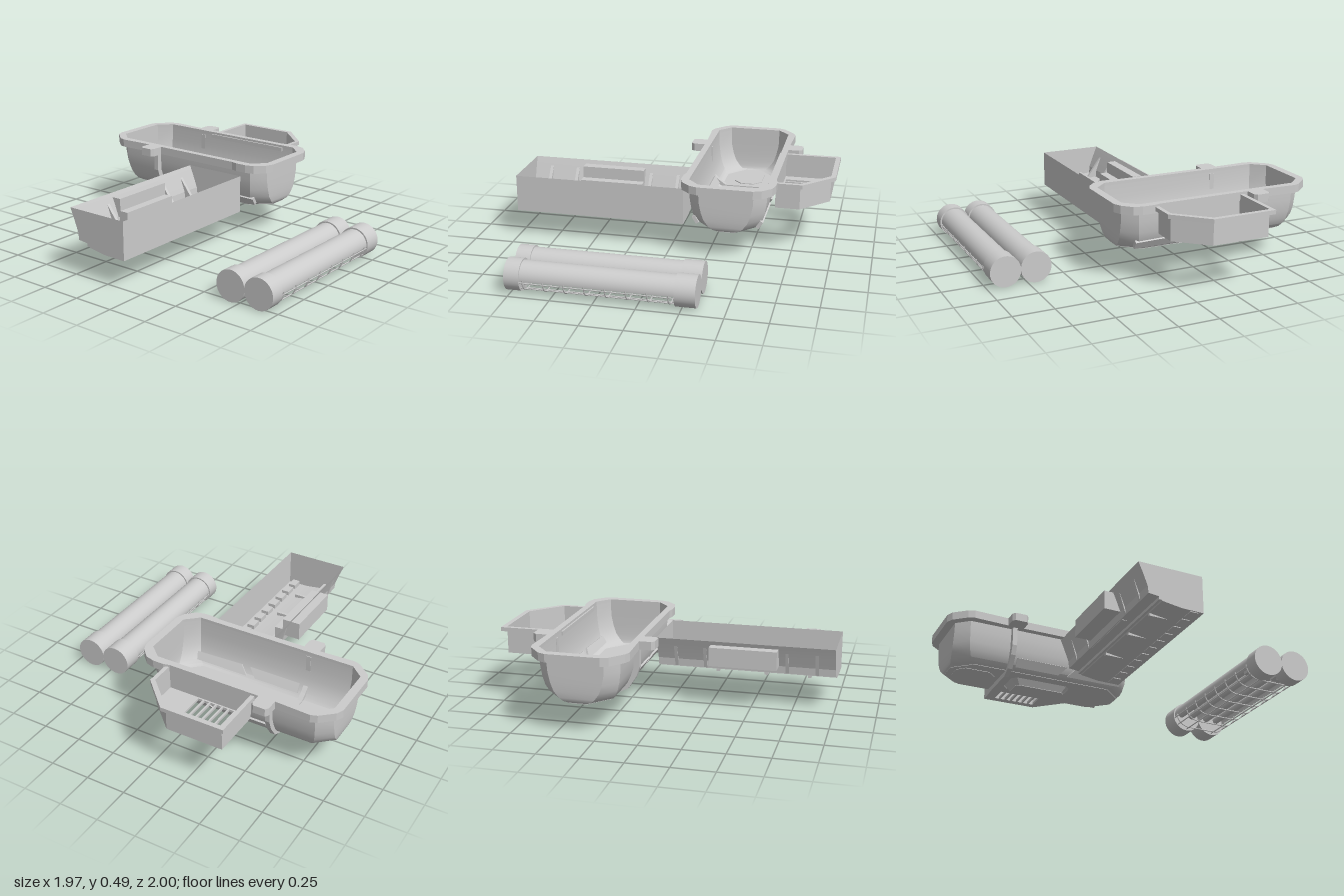
import * as THREE from 'three';
import { toCreasedNormals } from 'three/addons/utils/BufferGeometryUtils.js';

const grey = new THREE.MeshStandardMaterial({ color: 0xcccccc, side: THREE.DoubleSide });

function add(parent, name, geometry, x = 0, y = 0, z = 0) {
  const mesh = new THREE.Mesh(geometry, grey);
  mesh.name = name;
  mesh.position.set(x, y, z);
  parent.add(mesh);
  return mesh;
}
const section = (parent, name) => {
  const g = new THREE.Group();
  g.name = name;
  parent.add(g);
  return g;
};
// box given by its limits
const block = (parent, name, x0, x1, y0, y1, z0, z1) =>
  add(parent, name, new THREE.BoxGeometry(x1 - x0, y1 - y0, z1 - z0), (x0 + x1) / 2, (y0 + y1) / 2, (z0 + z1) / 2);

const toShape = (pts, holes = []) => {
  const shape = new THREE.Shape(pts.map(p => new THREE.Vector2(...p)));
  for (const h of holes) shape.holes.push(new THREE.Path(h.map(p => new THREE.Vector2(...p))));
  return shape;
};
const extrude = (pts, depth, holes) =>
  new THREE.ExtrudeGeometry(toShape(pts, holes), { depth, bevelEnabled: false });
// horizontal plate outlined in x, z, hanging down from its top height
const plate = (parent, name, pts, top, depth, holes) =>
  add(parent, name, extrude(pts, depth, holes).rotateX(Math.PI / 2), 0, top, 0);

// rectangle with cut corners, in x, z
const octagon = (x0, x1, z0, z1, cx, cz = cx) => [
  [x0 + cx, z0], [x1 - cx, z0], [x1, z0 + cz], [x1, z1 - cz],
  [x1 - cx, z1], [x0 + cx, z1], [x0, z1 - cz], [x0, z0 + cz]];
const rect = (x0, x1, z0, z1) => [[x0, z0], [x1, z0], [x1, z1], [x0, z1]];
const level = (pts, y) => pts.map(([x, z]) => [x, y, z]);

// surface through a series of cross-sections
function loft(rings, closed = true, crease = 0.6) {
  const n = rings[0].length, index = [];
  for (let r = 0; r < rings.length - 1; r++)
    for (let i = 0; i < (closed ? n : n - 1); i++) {
      const a = r * n + i, b = r * n + (i + 1) % n;
      index.push(a, b, a + n, b, b + n, a + n);
    }
  const g = new THREE.BufferGeometry();
  g.setAttribute('position', new THREE.Float32BufferAttribute(rings.flat(2), 3));
  g.setIndex(index);
  return toCreasedNormals(g, crease);
}

function buildTub(root) {
  const tub = section(root, 'tub');
  const wall = [
    [0.47, 0, 0, 0.08], [0.38, 0, 0.002, 0.08], [0.31, 0, 0.012, 0.085], [0.26, 0.002, 0.025, 0.09],
    [0.22, 0.006, 0.045, 0.1], [0.2, 0.012, 0.06, 0.11], [0.19, 0.022, 0.078, 0.12]];
  const outline = ([, ex, ez, c]) => octagon(-0.94 + ex, 0.25 - ex, -0.61 + ez, -0.13 - ez, c, c * 0.9);
  add(tub, 'tubWall', loft(wall.map(w => level(outline(w), w[0]))));

  // floor with the sunken well
  const well = octagon(-0.52, -0.12, -0.465, -0.275, 0.03);
  const wellFloor = octagon(-0.485, -0.155, -0.44, -0.3, 0.02);
  plate(tub, 'tubFloor', outline(wall.at(-1)), 0.193, 0.006, [well]);
  add(tub, 'wellWall', loft([level(well, 0.19), level(wellFloor, 0.15)], true, 0.3));
  plate(tub, 'wellFloor', wellFloor, 0.153, 0.006);
  plate(tub, 'floorPad', octagon(-0.88, -0.625, -0.46, -0.275, 0.05), 0.198, 0.014);

  // rim with a pair of side tabs
  const half = [[0.30, 0.17], [0.28, 0.22], [0.225, 0.275], [0.17, 0.29], [0.1, 0.29], [0.06, 0.28], [-0.525, 0.28],
    [-0.525, 0.35], [-0.54, 0.37], [-0.615, 0.37], [-0.63, 0.35], [-0.63, 0.28], [-0.85, 0.29],
    [-0.89, 0.275], [-0.97, 0.205], [-0.99, 0.16]];
  const mid = -0.37;
  const rim = [...half.map(([x, d]) => [x, mid + d]), ...half.toReversed().map(([x, d]) => [x, mid - d])];
  plate(tub, 'rim', rim, 0.49, 0.05, [outline(wall[0])]);

  // hoop running under the hull
  const hoop = (d, y) => [[mid - 0.27 + d, 0.46], [mid - 0.27 + d, 0.32], [mid - 0.25 + d, 0.26], [mid - 0.2 + d / 2, 0.185 + y],
    [mid - 0.14, 0.155 + y], [mid + 0.14, 0.155 + y], [mid + 0.2 - d / 2, 0.185 + y], [mid + 0.25 - d, 0.26],
    [mid + 0.27 - d, 0.32], [mid + 0.27 - d, 0.46]];
  add(tub, 'hoop', extrude([...hoop(0, 0), ...hoop(0.035, 0.045).reverse()], 0.03).rotateY(-Math.PI / 2), -0.563, 0, 0);

  // raised panels on the sloping lower walls
  for (const side of [-1, 1])
    for (const pts of [
      [[-0.54, 0], [-0.25, 0], [-0.2, 0.06], [-0.54, 0.06]],
      [[-0.19, 0], [0.18, 0], [0.18, 0.05], [-0.14, 0.06]]]) {
      const panel = add(tub, 'wallPanel', extrude(pts, 0.022).translate(0, 0, -0.011), 0, 0.212, mid + side * 0.185);
      panel.rotation.x = side * 0.55;
    }
}

function buildTray(root) {
  const tray = section(root, 'tray');
  const lip = [[-0.5, -0.6], [-0.5, -0.995], [-0.1, -0.995], [0.09, -0.81], [0.09, -0.6]];
  const body = [[-0.475, -0.645], [-0.475, -0.965], [-0.115, -0.965], [0.065, -0.795], [0.065, -0.645]];
  plate(tray, 'trayLip', lip, 0.476, 0.025, [body]);
  add(tray, 'trayWall', loft([level(body, 0.46), level(body, 0.31)], true, 0.3));
  const slots = [];
  for (let i = 0; i < 7; i++) {
    const x = -0.412 + i * 0.0415;
    slots.push(rect(x, x + 0.03, -0.92, -0.655));
  }
  plate(tray, 'slottedFloor', body, 0.325, 0.015, slots);
}

function buildTrough(root) {
  const trough = section(root, 'trough');
  const profile = [[-0.275, 0.41], [-0.25, 0.35], [-0.22, 0.27], [-0.215, 0.225], [-0.145, 0.218],
    [-0.13, 0.195], [-0.01, 0.178], [0.13, 0.176], [0.13, 0.41]];
  const z0 = -0.085, z1 = 1;
  add(trough, 'troughShell', loft([z0, z1].map(z => profile.map(([x, y]) => [x, y, z])), false, 0.2));
  for (const z of [z0, z1]) add(trough, 'endPlate', new THREE.ShapeGeometry(toShape(profile)), 0, 0, z);

  // row of blocks set in the floor
  for (let i = 0; i < 11; i++) {
    const z = -0.063 + i * 0.0985;
    block(trough, 'floorBlock', 0.05, 0.1, 0.172, 0.205, z, z + 0.07);
  }
  // cross ribs
  for (const z of [0.27, 0.57, 0.835]) block(trough, 'crossRib', -0.13, 0, 0.178, 0.2, z - 0.01, z + 0.01);
  block(trough, 'longRail', -0.15, -0.135, 0.2, 0.235, z0, z1);

  // console through the sloping wall
  block(trough, 'console', -0.322, -0.205, 0.27, 0.385, 0.25, 0.66);
  block(trough, 'consoleStep', -0.21, -0.15, 0.22, 0.31, 0.25, 0.66);
  const gusset = [[-0.255, 0.36], [-0.215, 0.225], [-0.15, 0.22]];
  for (const z of [0.02, 0.2, 0.7, 0.88]) add(trough, 'gusset', extrude(gusset, 0.02), 0, 0, z);
}

function buildTubes(root) {
  const tubes = section(root, 'twinTubes');
  const y = 0.1, centres = [0.7, 0.888], back = -0.335, front = 0.775;
  for (const x of centres) {
    const cap = (name, r, a, b) =>
      add(tubes, name, new THREE.CylinderGeometry(r, r, b - a, 40).rotateX(Math.PI / 2), x, y, (a + b) / 2);
    cap('frontCap', 0.095, 0.685, front);
    cap('backCap', 0.095, back, -0.215);
    // open half shell above, slim rods beneath it
    const shell = new THREE.CylinderGeometry(0.086, 0.086, 0.9, 32, 1, true, Math.PI / 2 - 0.1, Math.PI + 0.2);
    add(tubes, 'halfShell', shell.rotateX(Math.PI / 2), x, y, 0.235);
    for (const s of [-1, 1])
      add(tubes, 'rod', new THREE.CylinderGeometry(0.022, 0.022, 0.9, 16).rotateX(Math.PI / 2), x + s * 0.038, 0.113, 0.235);
    block(tubes, 'rodBracket', x - 0.06, x + 0.06, 0.04, 0.12, 0.66, 0.69);
    block(tubes, 'rodClip', x - 0.05, x + 0.05, 0.075, 0.1, 0.58, 0.64);
  }

  // wire cage slung below both tubes
  const path = [];
  for (let i = 0; i <= 8; i++) {
    const a = Math.PI + i * Math.PI / 16;
    path.push(new THREE.Vector3(centres[0] + 0.088 * Math.cos(a), y + 0.083 * Math.sin(a), 0));
  }
  const sum = centres[0] + centres[1];
  path.push(...path.map(p => new THREE.Vector3(sum - p.x, p.y, 0)).reverse());
  const hoop = new THREE.TubeGeometry(new THREE.CatmullRomCurve3(path), 48, 0.004, 6);
  for (let i = 0; i < 8; i++) add(tubes, 'cageHoop', hoop, 0, 0, 0.665 - i * 0.121);
  for (const i of [1, 4, 8, 9, 13, 16])
    add(tubes, 'cageWire', new THREE.CylinderGeometry(0.004, 0.004, 0.9, 6).rotateX(Math.PI / 2), path[i].x, path[i].y, 0.235);
}

export function createModel() {
  const root = new THREE.Group();
  root.name = 'equipmentSet';
  buildTub(root);
  buildTray(root);
  buildTrough(root);
  buildTubes(root);
  return root;
}
